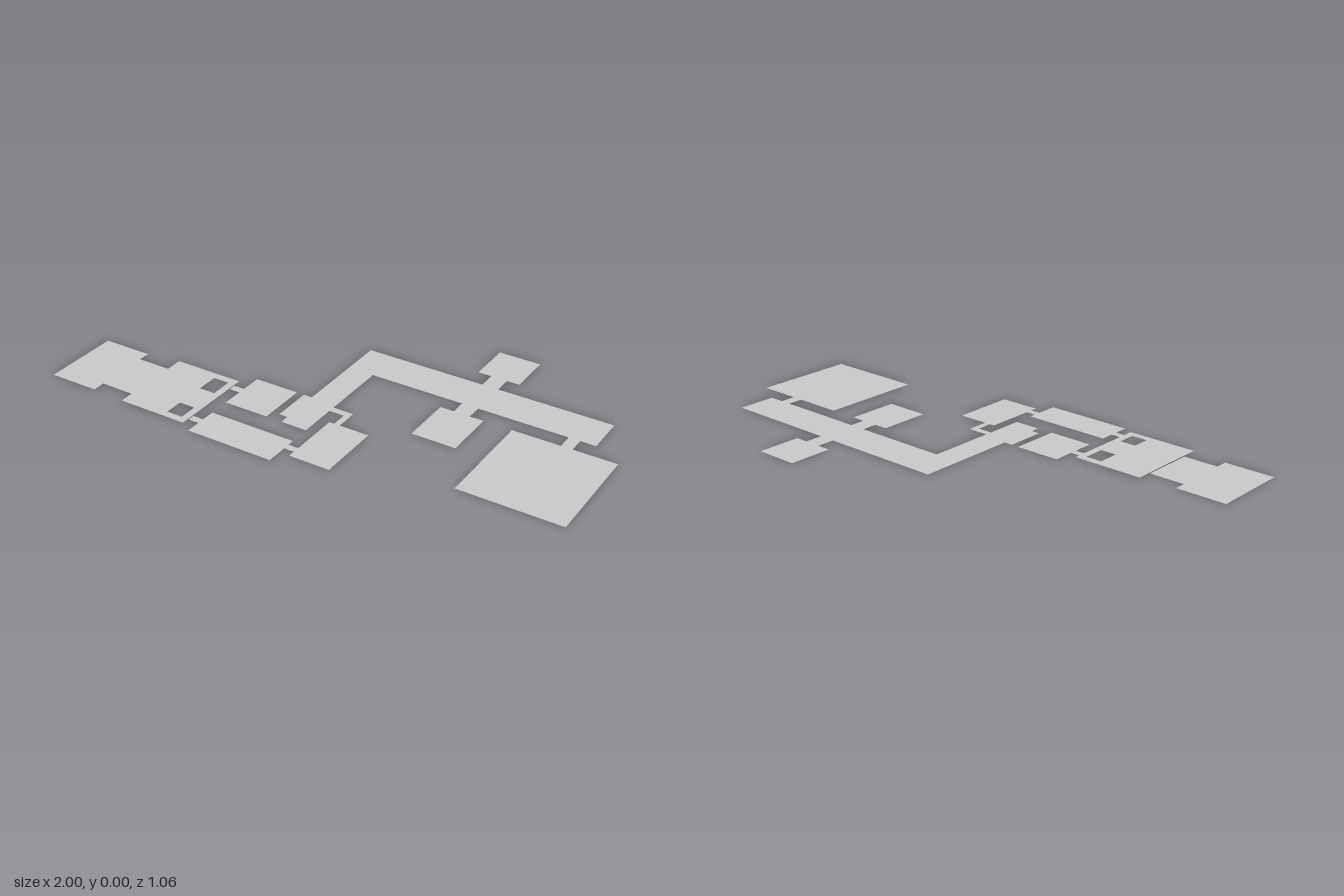
import * as THREE from 'three';

// Flat floor plan: every part is a thin open sheet lying on the ground.
const material = new THREE.MeshStandardMaterial({ color: 0xcccccc, side: THREE.DoubleSide });

// Rectangle outline from x and z limits (z is flipped for the shape plane)
function trace(path, [x0, x1, z0, z1]) {
  path.moveTo(x0, -z1);
  path.lineTo(x1, -z1);
  path.lineTo(x1, -z0);
  path.lineTo(x0, -z0);
  path.closePath();
  return path;
}

function floor(name, rect, holes = [], y = 0) {
  const shape = trace(new THREE.Shape(), rect);
  for (const hole of holes) shape.holes.push(trace(new THREE.Path(), hole));
  const geometry = new THREE.ShapeGeometry(shape).rotateX(-Math.PI / 2);
  const mesh = new THREE.Mesh(geometry, material);
  mesh.name = name;
  mesh.position.y = y;
  return mesh;
}

export function createModel() {
  const model = new THREE.Group();
  model.name = 'floorPlan';

  // Hall with two rectangular openings, raised very slightly
  const openings = [[-0.479, -0.415, 0.2, 0.286], [-0.479, -0.415, 0.403, 0.475]];
  model.add(floor('hall', [-0.665, -0.388, 0.171, 0.503], openings, 0.004));

  // Rooms, passages and corridors: x0, x1, z0, z1
  const parts = {
    // west wing
    westRoom: [-1, -0.803, 0.187, 0.492],
    westPassage: [-0.803, -0.665, 0.233, 0.443],
    // middle rooms
    middleRoom: [-0.345, -0.168, 0.117, 0.31],
    middleDoorway: [-0.388, -0.345, 0.2, 0.228],
    longRoom: [-0.345, 0, 0.39, 0.528],
    longRoomDoorway: [-0.388, -0.345, 0.443, 0.471],
    sideDoorway: [0, 0.04, 0.417, 0.443],
    sideRoom: [0.04, 0.2, 0.222, 0.471],
    // bent link between side room and corridor
    linkAcross: [0, 0.083, 0.134, 0.16],
    linkDown: [0.06, 0.083, 0.16, 0.222],
    // L-shaped main corridor and its alcove
    corridorAcross: [-0.104, 0.893, -0.289, -0.134],
    corridorDown: [-0.104, 0, -0.134, 0.31],
    corridorAlcove: [-0.138, -0.104, 0.117, 0.273],
    // rooms off the corridor
    backRoom: [0.32, 0.489, -0.535, -0.36],
    backDoorway: [0.374, 0.439, -0.36, -0.289],
    frontRoom: [0.32, 0.493, -0.072, 0.133],
    frontDoorway: [0.374, 0.439, -0.134, -0.072],
    largeRoom: [0.604, 1, -0.072, 0.342],
    largeRoomDoorway: [0.79, 0.834, -0.134, -0.072],
  };
  for (const [name, rect] of Object.entries(parts)) model.add(floor(name, rect));

  return model;
}
